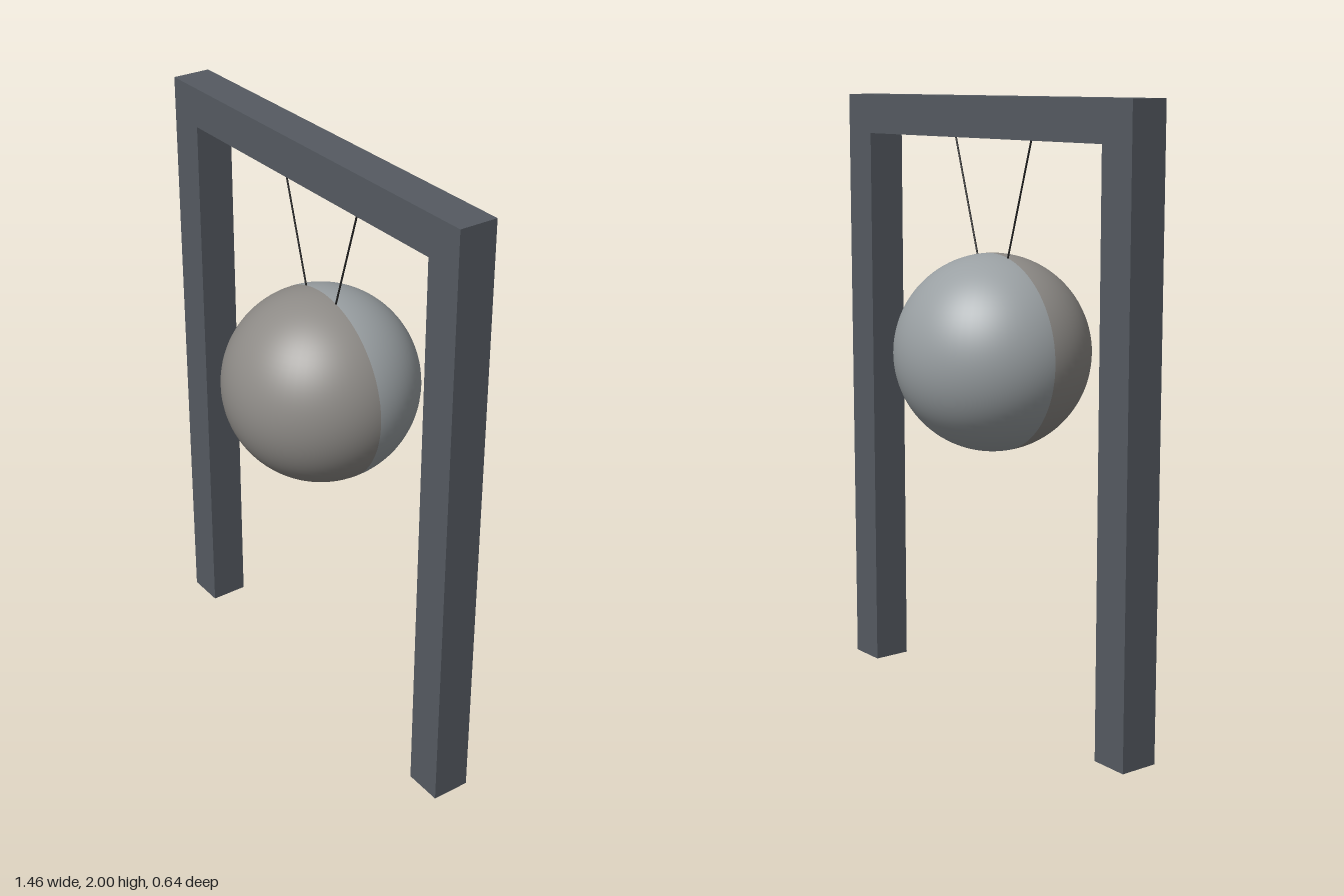
import * as THREE from 'three';

const paint = (color) => new THREE.MeshStandardMaterial({ color });

function add(group, name, geometry, material) {
  const mesh = new THREE.Mesh(geometry, material);
  mesh.name = name;
  group.add(mesh);
  return mesh;
}

export function createModel() {
  const group = new THREE.Group();
  group.name = 'hangingBall';

  // Square-section gate frame, open at the bottom
  const outer = 0.73, inner = 0.6, top = 2, beam = 1.87, depth = 0.128;
  const outline = new THREE.Shape([
    [-outer, 0], [-inner, 0], [-inner, beam], [inner, beam],
    [inner, 0], [outer, 0], [outer, top], [-outer, top],
  ].map(([x, y]) => new THREE.Vector2(x, y)));
  const frame = new THREE.ExtrudeGeometry(outline, { depth, bevelEnabled: false });
  frame.translate(0, 0, -depth / 2);
  add(group, 'frame', frame, paint(0x555a61));

  // Ball in two half shells, front and back
  const radius = 0.32, centreY = 1.186;
  for (const [name, start, color] of [
    ['ballFront', 0, 0x8e8b87],
    ['ballBack', Math.PI, 0x9aa0a3],
  ]) {
    const half = new THREE.SphereGeometry(radius, 32, 48, start, Math.PI);
    const material = paint(color);
    material.side = THREE.DoubleSide;
    add(group, name, half, material).position.y = centreY;
  }

  // Thin wires splaying from the ball up to the beam
  const wirePaint = paint(0x222222);
  for (const [name, side] of [['leftWire', 1], ['rightWire', -1]]) {
    const path = new THREE.LineCurve3(
      new THREE.Vector3(side * 0.078, 1.49, 0),
      new THREE.Vector3(side * 0.198, beam + 0.005, 0),
    );
    add(group, name, new THREE.TubeGeometry(path, 1, 0.003, 8), wirePaint);
  }

  return group;
}
